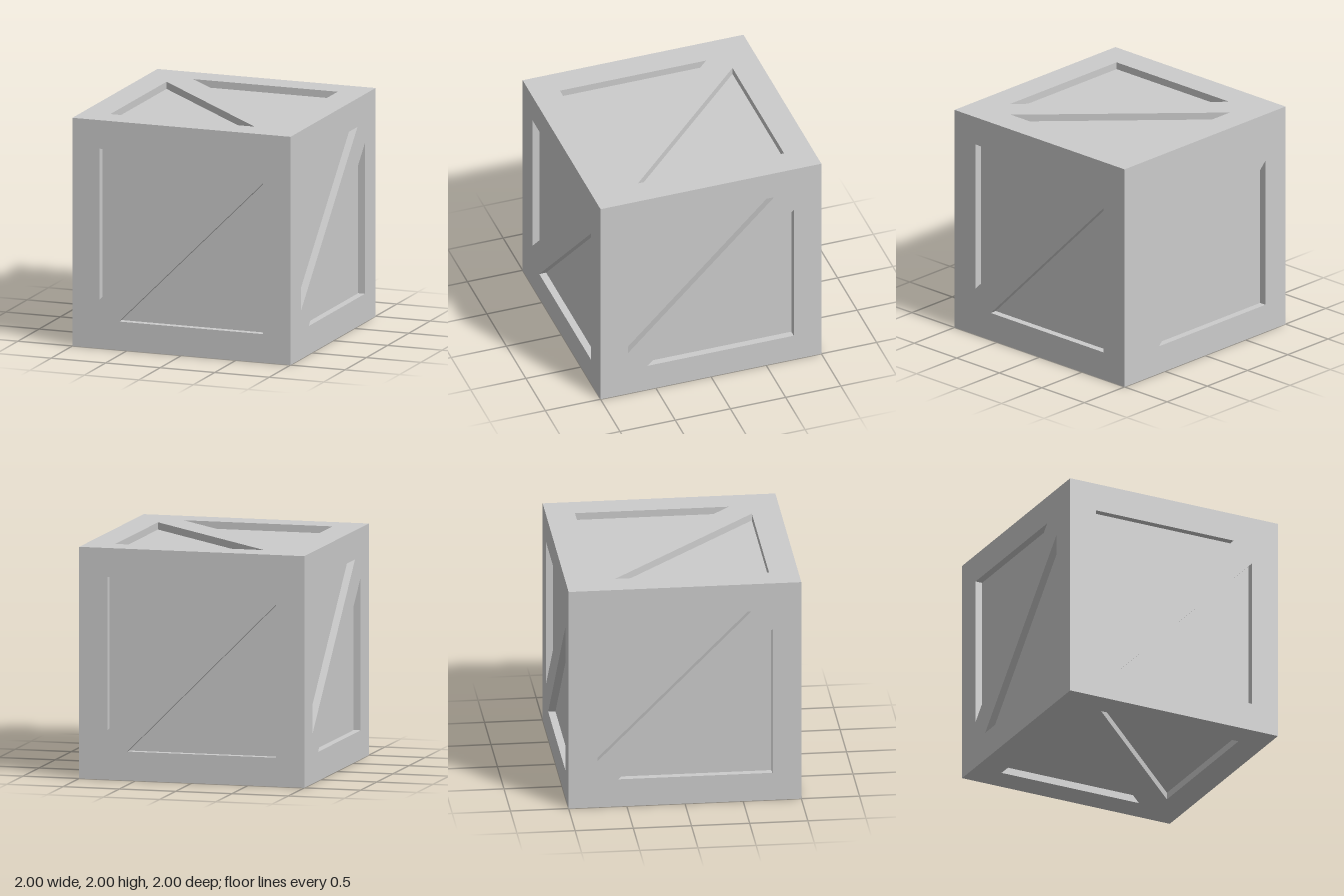
import * as THREE from 'three';

const HALF = 1;        // half the cube's side
const INSET = 0.75;    // right-angle corner of each recess
const TIP = 0.573;     // sharp corners, leaving the diagonal brace between
const DEPTH = 0.0625;  // recess depth

const material = new THREE.MeshStandardMaterial({ color: 0xcccccc, flatShading: true });

const points = (list) => list.map(([x, y]) => new THREE.Vector2(x, y));

// Two counter-clockwise recess outlines, each the other turned by 180 degrees
const upper = [[-INSET, INSET], [-INSET, -TIP], [TIP, INSET]];
const recesses = [upper, upper.map(([x, y]) => [-x, -y])];

// Square border with a diagonal brace
function frameGeometry() {
  const shape = new THREE.Shape(points([[-HALF, -HALF], [HALF, -HALF], [HALF, HALF], [-HALF, HALF]]));
  for (const r of recesses) shape.holes.push(new THREE.Path(points(r)));
  return new THREE.ShapeGeometry(shape).translate(0, 0, HALF);
}

// Sunken triangular panels
function panelGeometry() {
  const shapes = recesses.map((r) => new THREE.Shape(points(r)));
  return new THREE.ShapeGeometry(shapes).translate(0, 0, HALF - DEPTH);
}

// Walls joining the frame to the panels, facing into each recess
function wallGeometry() {
  const position = [];
  const low = HALF - DEPTH;
  for (const r of recesses) {
    r.forEach((a, i) => {
      const b = r[(i + 1) % r.length];
      position.push(...a, low, ...a, HALF, ...b, HALF);
      position.push(...a, low, ...b, HALF, ...b, low);
    });
  }
  const geometry = new THREE.BufferGeometry();
  geometry.setAttribute('position', new THREE.Float32BufferAttribute(position, 3));
  geometry.computeVertexNormals();
  return geometry;
}

export function createModel() {
  const model = new THREE.Group();
  model.name = 'crate';

  const parts = { frame: frameGeometry(), panels: panelGeometry(), recessWalls: wallGeometry() };
  const q = Math.PI / 2;

  // Each side: name, turn about x, turn about y, turn in its own plane
  const sides = [
    ['frontSide', 0, 0, 0],
    ['leftSide', 0, q, 0],
    ['backSide', 0, 2 * q, 0],
    ['rightSide', 0, -q, 0],
    ['topSide', -q, 0, q],
    ['bottomSide', q, 0, q],
  ];
  for (const [name, rx, ry, rz] of sides) {
    const side = new THREE.Group();
    side.name = name;
    for (const [partName, geometry] of Object.entries(parts)) {
      const mesh = new THREE.Mesh(geometry, material);
      mesh.name = partName;
      side.add(mesh);
    }
    side.rotation.set(rx, ry, rz);
    side.position.y = HALF;
    model.add(side);
  }
  return model;
}
